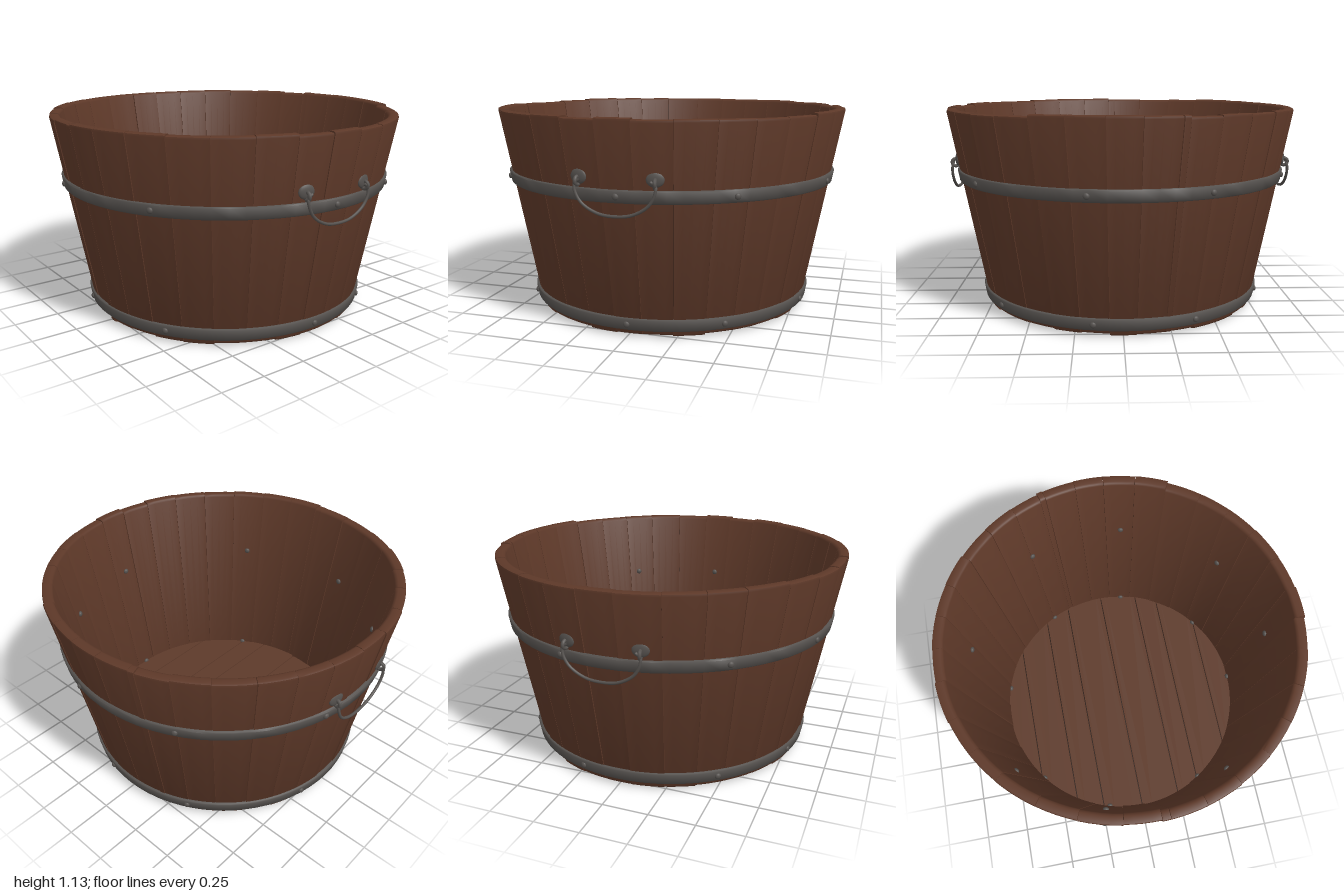
import * as THREE from 'three';
import { toCreasedNormals } from 'three/addons/utils/BufferGeometryUtils.js';

const H = 1.13, WALL = 0.059;
const outerR = (y) => 0.787 + 0.213 * (y / H); // outside of the tapered wall
const rad = THREE.MathUtils.degToRad;

// Angles measured from +z towards +x
const SEAMS = [1, 3.5, 14.5, 26, 38, 50, 62, 74, 85, 95.5, 107, 119, 130, 141, 153, 164, 175,
  185, 196, 198, 208, 219, 231, 242, 253, 264, 275, 288, 300, 311, 324.5, 337, 350, 361];
const RIVETS = [31.5, 90, 126, 169, 207.5, 255, 308, 344];

function seeded(seed) {
  return () => (seed = (seed * 16807) % 2147483647) / 2147483647;
}

// Upright cross-section of a stave (radius, height) with softened ends
function staveProfile(low, top, out) {
  const b = 0.014, c = 0.004;
  return [[-WALL, low, 0, b], [-WALL, low, c, c], [-WALL, low, b, 0], [0, low, -b, 0], [0, low, -c, c], [0, low, 0, b],
    [0, top, 0, -b], [0, top, -c, -c], [0, top, -b, 0], [-WALL, top, b, 0], [-WALL, top, c, -c], [-WALL, top, 0, -b]]
    .map(([d, y, dr, dy]) => new THREE.Vector2(outerR(y + dy) + d + dr + out, y + dy));
}

export function createModel() {
  const model = new THREE.Group();
  const mat = (name, color, side = THREE.FrontSide) => {
    const m = new THREE.MeshStandardMaterial({ color, side });
    m.name = name;
    return m;
  };
  const wood = mat('stave wood', 0x5d3828);
  const floorWood = mat('floor wood', 0x5d3a2a);
  const gap = mat('dark gap', 0x2c1a12, THREE.DoubleSide);
  const iron = mat('dark iron', 0x55514e);
  const add = (name, geo, material, parent = model) => {
    const mesh = new THREE.Mesh(geo, material);
    mesh.name = name;
    parent.add(mesh);
    return mesh;
  };
  const group = (name) => {
    const g = new THREE.Group();
    g.name = name;
    model.add(g);
    return g;
  };

  // Staves: boards bent round the tapered wall, with slightly uneven ends
  const rand = seeded(41);
  const staves = group('staves');
  for (let i = 0; i < SEAMS.length - 1; i++) {
    const a0 = rad(SEAMS[i]) + 0.001, a1 = rad(SEAMS[i + 1]) - 0.001;
    const low = 0.001 + rand() * 0.012, top = H + (rand() - 0.6) * 0.014;
    const shape = new THREE.Shape(staveProfile(low, top, (rand() - 0.6) * 0.006));
    const geo = new THREE.ExtrudeGeometry(shape, { depth: a1 - a0, steps: 4, bevelEnabled: false });
    const p = geo.attributes.position;
    for (let k = 0; k < p.count; k++) {
      const r = p.getX(k), a = a1 - p.getZ(k);
      p.setXYZ(k, Math.sin(a) * r, p.getY(k), Math.cos(a) * r);
    }
    geo.computeVertexNormals();
    add('stave', toCreasedNormals(geo, 0.9), wood, staves);
  }

  // Dark layer inside the wall, seen only in the seams
  const core = [0.03, 1.112].map((y) => new THREE.Vector2(outerR(y) - WALL / 2, y));
  add('wallSeams', new THREE.LatheGeometry(core, 96), gap);

  // Floor planks: strips of a disc, recessed above the stave ends
  const R = 0.755;
  const cuts = [-0.74, -0.6, -0.4, -0.24, 0, 0.24, 0.38, 0.6, 0.74];
  const floor = group('floor');
  for (let i = 0; i < cuts.length - 1; i++) {
    const x0 = cuts[i] + 0.003, x1 = cuts[i + 1] - 0.003, pts = [];
    for (const s of [1, -1]) {
      for (let k = 0; k <= 8; k++) {
        const t = s > 0 ? k / 8 : 1 - k / 8;
        const x = x0 + (x1 - x0) * t;
        pts.push(new THREE.Vector2(x, s * Math.sqrt(R * R - x * x)));
      }
    }
    const geo = new THREE.ExtrudeGeometry(new THREE.Shape(pts), { depth: 0.028, bevelEnabled: false });
    geo.rotateX(-Math.PI / 2).translate(0, 0.042, 0);
    add('floorPlank', geo, floorWood, floor);
  }
  const seamDisc = add('floorSeams', new THREE.CircleGeometry(R, 64), gap, floor);
  seamDisc.rotation.x = -Math.PI / 2;
  seamDisc.position.y = 0.056;

  // Iron hoops with rivet heads outside and inside
  const hoop = (name, y0, y1) => {
    const g = group(name);
    const t = 0.015, b = 0.006;
    const profile = [[-0.02, y0], [t - b, y0], [t, y0 + b], [t, y1 - b], [t - b, y1], [-0.02, y1], [-0.02, y0]]
      .map(([d, y]) => new THREE.Vector2(outerR(y) + d, y));
    add('hoopBand', toCreasedNormals(new THREE.LatheGeometry(profile, 72), 0.9), iron, g);
    const y = (y0 + y1) / 2;
    for (const deg of RIVETS) {
      for (const r of [outerR(y) + t, outerR(y) - WALL - 0.004]) {
        const head = add('rivet', new THREE.SphereGeometry(0.017, 12, 8), iron, g);
        head.scale.z = 0.7;
        head.rotation.y = rad(deg);
        head.position.set(Math.sin(rad(deg)) * r, y, Math.cos(rad(deg)) * r);
      }
    }
  };
  hoop('upperHoop', 0.72, 0.787);
  hoop('lowerHoop', 0.036, 0.103);

  // Hanging handles on both sides
  for (const side of [1, -1]) {
    const g = group(side > 0 ? 'leftHandle' : 'rightHandle');
    for (const e of [1, -1]) {
      const a = side * (Math.PI / 2 - e * 0.207), r = outerR(0.84);
      const plate = add('handlePlate', new THREE.SphereGeometry(0.045, 20, 12), iron, g);
      plate.scale.set(1, 0.85, 0.3);
      plate.rotation.y = a;
      plate.position.set(Math.sin(a) * r, 0.842, Math.cos(a) * r);
      const eye = add('handleEye', new THREE.TorusGeometry(0.02, 0.01, 8, 16), iron, g);
      eye.rotation.y = a + Math.PI / 2;
      eye.position.set(Math.sin(a) * (r + 0.012), 0.822, Math.cos(a) * (r + 0.012));
    }
    const half = [[0.178, 0.832], [0.203, 0.815], [0.203, 0.78], [0.17, 0.72], [0.09, 0.672]];
    const path = [...half, [0, 0.66], ...half.map(([z, y]) => [-z, y]).reverse()]
      .map(([z, y]) => new THREE.Vector3(side * (0.957 - Math.max(0, y - 0.78) * 0.15), y, z));
    add('handleBail', new THREE.TubeGeometry(new THREE.CatmullRomCurve3(path), 48, 0.008, 8), iron, g);
  }
  return model;
}
